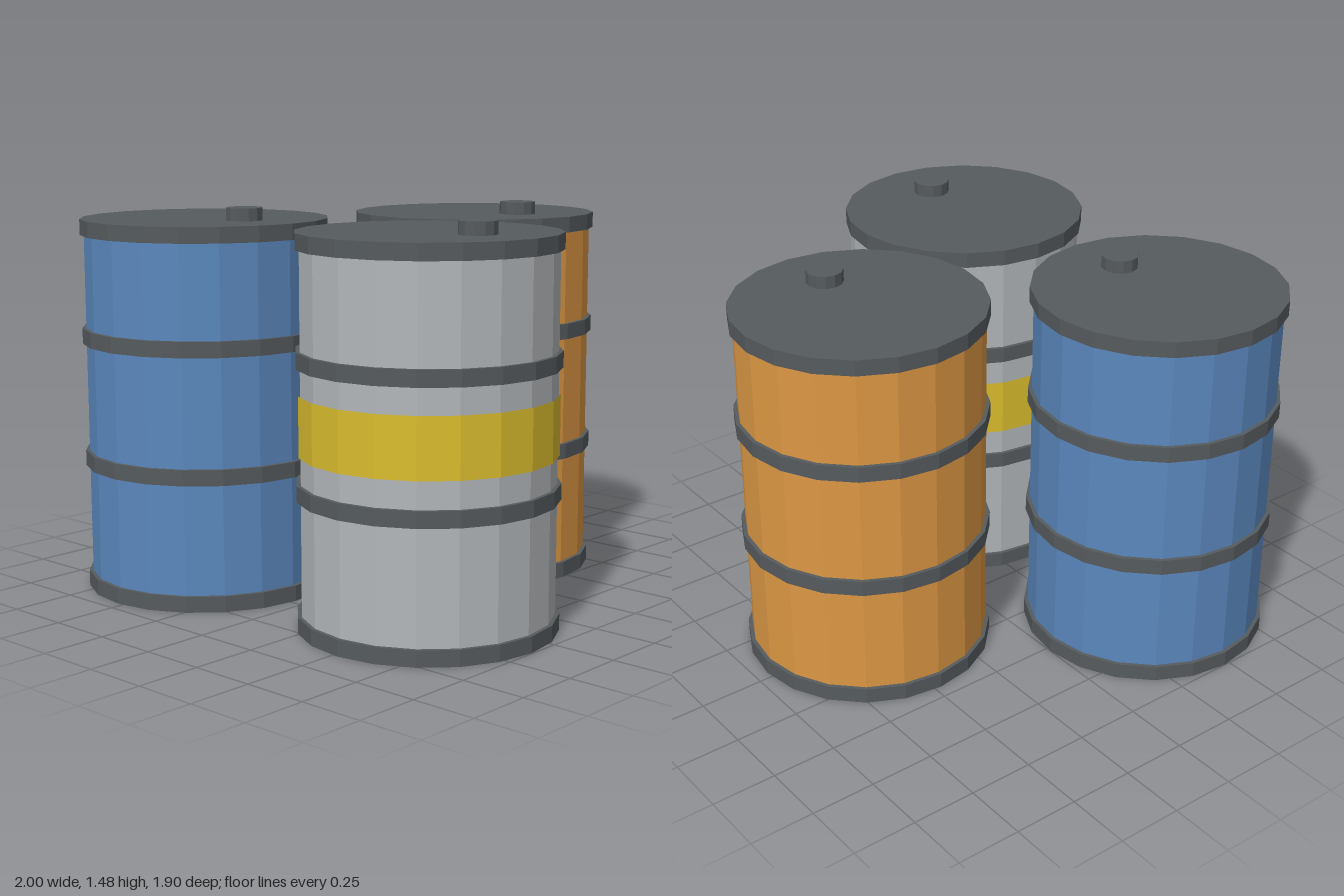
import * as THREE from 'three';

const paint = (name, color) => {
  const m = new THREE.MeshStandardMaterial({ color, flatShading: true });
  m.name = name;
  return m;
};

export function createModel() {
  const blue = paint('blue paint', 0x5b88be);
  const orange = paint('orange paint', 0xdd9844);
  const grey = paint('light grey paint', 0xb3b7ba);
  const yellow = paint('yellow band', 0xdabd2e);
  const steel = paint('dark steel', 0x565b5e);

  const SIDES = 20, BODY_R = 0.46, RIM_R = 0.475, HEIGHT = 1.43, RIM_H = 0.06;

  // Upright cylinder from its bottom height
  const drum = (name, radius, bottom, height, material, sides = SIDES, open = false) => {
    const mesh = new THREE.Mesh(
      new THREE.CylinderGeometry(radius, radius, height, sides, 1, open), material);
    mesh.name = name;
    mesh.position.y = bottom + height / 2;
    return mesh;
  };

  const barrel = (name, x, z, material) => {
    const g = new THREE.Group();
    g.name = name;
    g.position.set(x, 0, z);
    g.add(drum('body', BODY_R, 0.03, HEIGHT - 0.06, material));
    // Base, two hoops and lid
    [['base', 0], ['lowerHoop', 0.48], ['upperHoop', 0.955], ['lid', HEIGHT - RIM_H]]
      .forEach(([part, y]) => g.add(drum(part, RIM_R, y, RIM_H, steel)));
    // Filler cap on the lid
    const cap = drum('fillerCap', 0.07, HEIGHT - 0.01, 0.058, steel, 12);
    cap.position.x = 0.22;
    g.add(cap);
    return g;
  };

  const model = new THREE.Group();
  model.name = 'barrelCluster';
  const greyBarrel = barrel('greyBarrel', 0.522, 0.375, grey);
  // Painted warning band
  greyBarrel.add(drum('warningBand', 0.467, 0.64, 0.22, yellow, SIDES, true));
  model.add(
    barrel('blueBarrel', -0.525, 0.475, blue),
    barrel('orangeBarrel', 0.03, -0.475, orange),
    greyBarrel);
  return model;
}
